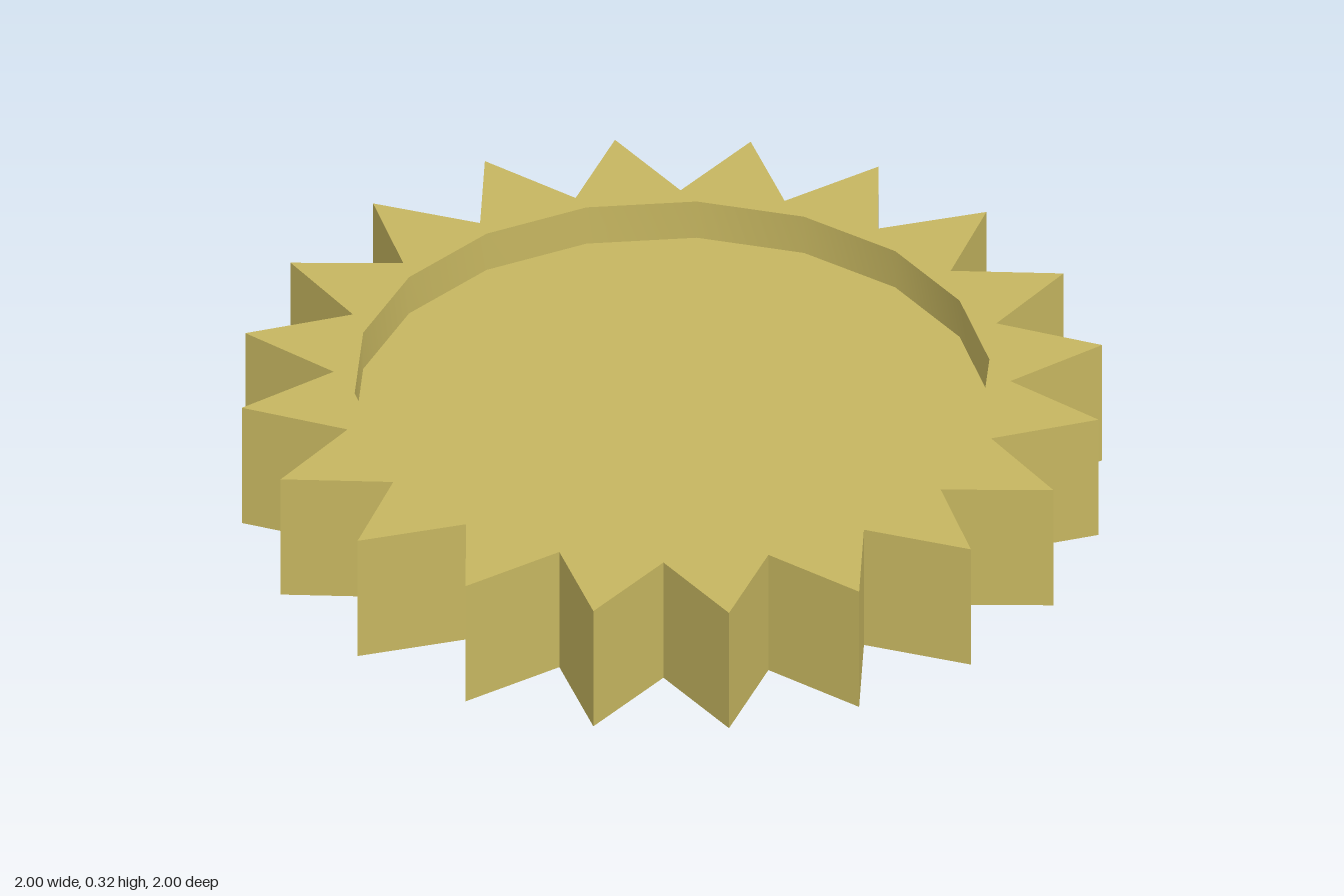
import * as THREE from 'three';
import { toCreasedNormals } from 'three/addons/utils/BufferGeometryUtils.js';

const TEETH = 20, HEIGHT = 0.318, RECESS = 0.1;
const TIP = 1, VALLEY = 0.78, BORE = 0.735, BORE_SIDES = 18;

// Points around a circle, with the radius given per index
const ringPoints = (count, radiusAt) =>
  Array.from({ length: count }, (_, i) => {
    const a = (i / count) * Math.PI * 2, r = radiusAt(i);
    return new THREE.Vector2(r * Math.cos(a), r * Math.sin(a));
  });

export function createModel() {
  const group = new THREE.Group();
  group.name = 'spikedGear';
  const brass = new THREE.MeshStandardMaterial({ color: 0xc6b660 });
  brass.name = 'brass';

  const add = (name, geometry) => {
    const mesh = new THREE.Mesh(geometry, brass);
    mesh.name = name;
    group.add(mesh);
    return mesh;
  };

  // Toothed rim: pointed teeth outside, smooth recess wall inside
  const outline = new THREE.Shape(ringPoints(TEETH * 2, (i) => (i % 2 ? VALLEY : TIP)));
  outline.holes.push(new THREE.Path(ringPoints(BORE_SIDES, () => BORE).reverse()));
  const rim = new THREE.ExtrudeGeometry(outline, { depth: HEIGHT, bevelEnabled: false });
  rim.rotateX(-Math.PI / 2);
  add('toothedRim', toCreasedNormals(rim, 0.5));

  // Sunken faces of the web, one on each side
  for (const side of [1, -1]) {
    const face = new THREE.CircleGeometry(BORE, BORE_SIDES).rotateX((-side * Math.PI) / 2);
    add(side > 0 ? 'upperWebFace' : 'lowerWebFace', face).position.y =
      side > 0 ? HEIGHT - RECESS : RECESS;
  }

  return group;
}
